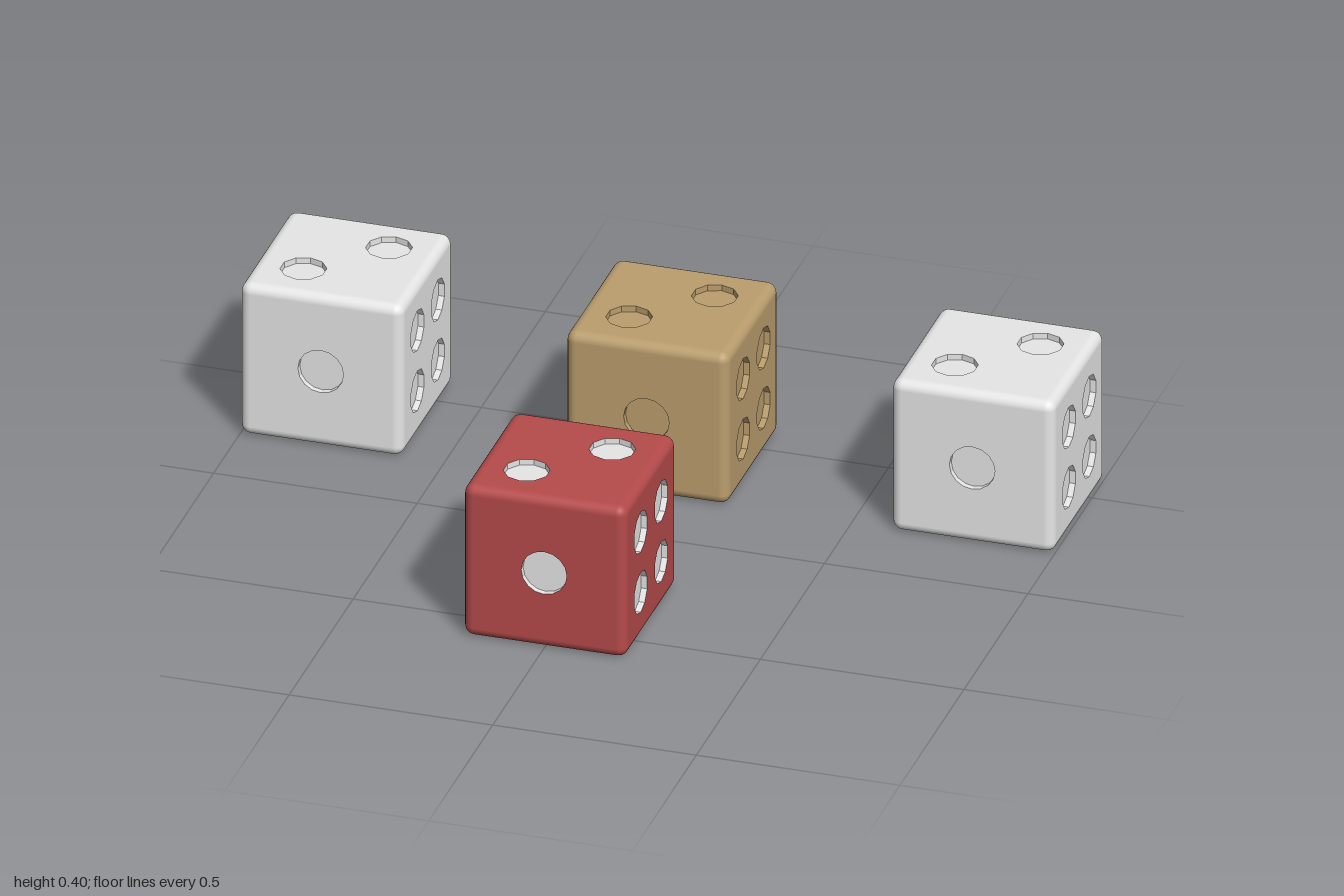
import * as THREE from 'three';
import { RoundedBoxGeometry } from 'three/addons/geometries/RoundedBoxGeometry.js';
import { mergeGeometries } from 'three/addons/utils/BufferGeometryUtils.js';

const SIZE = 0.4, HALF = SIZE / 2, ROUND = 0.025, DEPTH = 0.015;
const A = 0.08;
const corners = [[-A, -A], [A, -A], [-A, A], [A, A]];

// Each face: rotation from +z, pip radius, pip sides, pip centres
const faces = [
  { rot: [0, 0, 0], r: 0.056, sides: 16, pips: [[0, 0]] },
  { rot: [-Math.PI / 2, 0, 0], r: 0.055, sides: 10, pips: [[A, A], [-A, -A]] },
  { rot: [0, -Math.PI / 2, 0], r: 0.053, sides: 10, pips: [[A, A], [0, 0], [-A, -A]] },
  { rot: [0, Math.PI / 2, 0], r: 0.053, sides: 10, pips: corners },
  { rot: [Math.PI / 2, 0, 0], r: 0.046, sides: 10, pips: [...corners, [0, 0]] },
  { rot: [0, Math.PI, 0], r: 0.045, sides: 10,
    pips: [-0.105, 0, 0.105].flatMap((y) => [[-A, y], [A, y]]) },
];

// Rounded edges and corners only: the flat middle of every side is left out
function edgeGeometry() {
  const box = new RoundedBoxGeometry(SIZE, SIZE, SIZE, 3, ROUND);
  const src = box.index ? box.toNonIndexed() : box;
  const p = src.attributes.position, n = src.attributes.normal;
  const pos = [], nor = [];
  for (let i = 0; i < p.count; i += 3) {
    const flat = [0, 1, 2].some((axis) => [0, 1, 2].every((k) =>
      Math.abs(p.getComponent(i + k, axis)) > HALF - 1e-5));
    if (flat) continue;
    for (let k = i; k < i + 3; k++) {
      pos.push(p.getX(k), p.getY(k), p.getZ(k));
      nor.push(n.getX(k), n.getY(k), n.getZ(k));
    }
  }
  const g = new THREE.BufferGeometry();
  g.setAttribute('position', new THREE.Float32BufferAttribute(pos, 3));
  g.setAttribute('normal', new THREE.Float32BufferAttribute(nor, 3));
  return g;
}

// Flat side with a hole for each pip
function sideGeometry({ r, sides, pips }) {
  const h = HALF - ROUND;
  const shape = new THREE.Shape([[-h, -h], [h, -h], [h, h], [-h, h]].map(([x, y]) => new THREE.Vector2(x, y)));
  for (const [x, y] of pips) {
    const ring = [];
    for (let i = 0; i < sides; i++) {
      const t = (i / sides) * Math.PI * 2;
      ring.push(new THREE.Vector2(x + r * Math.sin(t), y - r * Math.cos(t)));
    }
    shape.holes.push(new THREE.Path(ring));
  }
  return new THREE.ShapeGeometry(shape).translate(0, 0, HALF);
}

// Shallow cup: wall and floor of each pip
function pipGeometry({ r, sides, pips }) {
  const profile = [[r, 0], [r, -DEPTH], [0, -DEPTH]].map(([x, y]) => new THREE.Vector2(x, y));
  const cup = new THREE.LatheGeometry(profile, sides).toNonIndexed();
  cup.computeVertexNormals();
  cup.rotateX(Math.PI / 2);
  return mergeGeometries(pips.map(([x, y]) => cup.clone().translate(x, y, HALF)));
}

function turn(geometry, rot) {
  return geometry.applyMatrix4(new THREE.Matrix4().makeRotationFromEuler(new THREE.Euler(...rot)));
}

export function createModel() {
  const material = (name, color) => {
    const m = new THREE.MeshStandardMaterial({ color });
    m.name = name;
    return m;
  };
  const white = material('white', 0xe6e6e6);
  const red = material('red', 0xb54a4a);
  const tan = material('tan', 0xba9d6d);

  const edges = edgeGeometry();
  const sides = mergeGeometries(faces.map((f) => turn(sideGeometry(f), f.rot)));
  const pips = mergeGeometries(faces.map((f) => turn(pipGeometry(f), f.rot)));

  const model = new THREE.Group();
  model.name = 'dice';
  const addDie = (name, x, z, bodyMaterial, pipMaterial) => {
    const die = new THREE.Group();
    die.name = name;
    die.position.set(x, HALF, z);
    for (const [part, geometry, mat] of [
      ['roundedEdges', edges, bodyMaterial],
      ['sides', sides, bodyMaterial],
      ['pips', pips, pipMaterial],
    ]) {
      const mesh = new THREE.Mesh(geometry, mat);
      mesh.name = part;
      die.add(mesh);
    }
    model.add(die);
  };

  // Three dice in the back row, one in front
  addDie('rightWhiteDie', -0.8, -0.4, white, white);
  addDie('tanDie', 0, -0.4, tan, tan);
  addDie('leftWhiteDie', 0.8, -0.4, white, white);
  addDie('redDie', 0, 0.4, red, white);
  return model;
}
